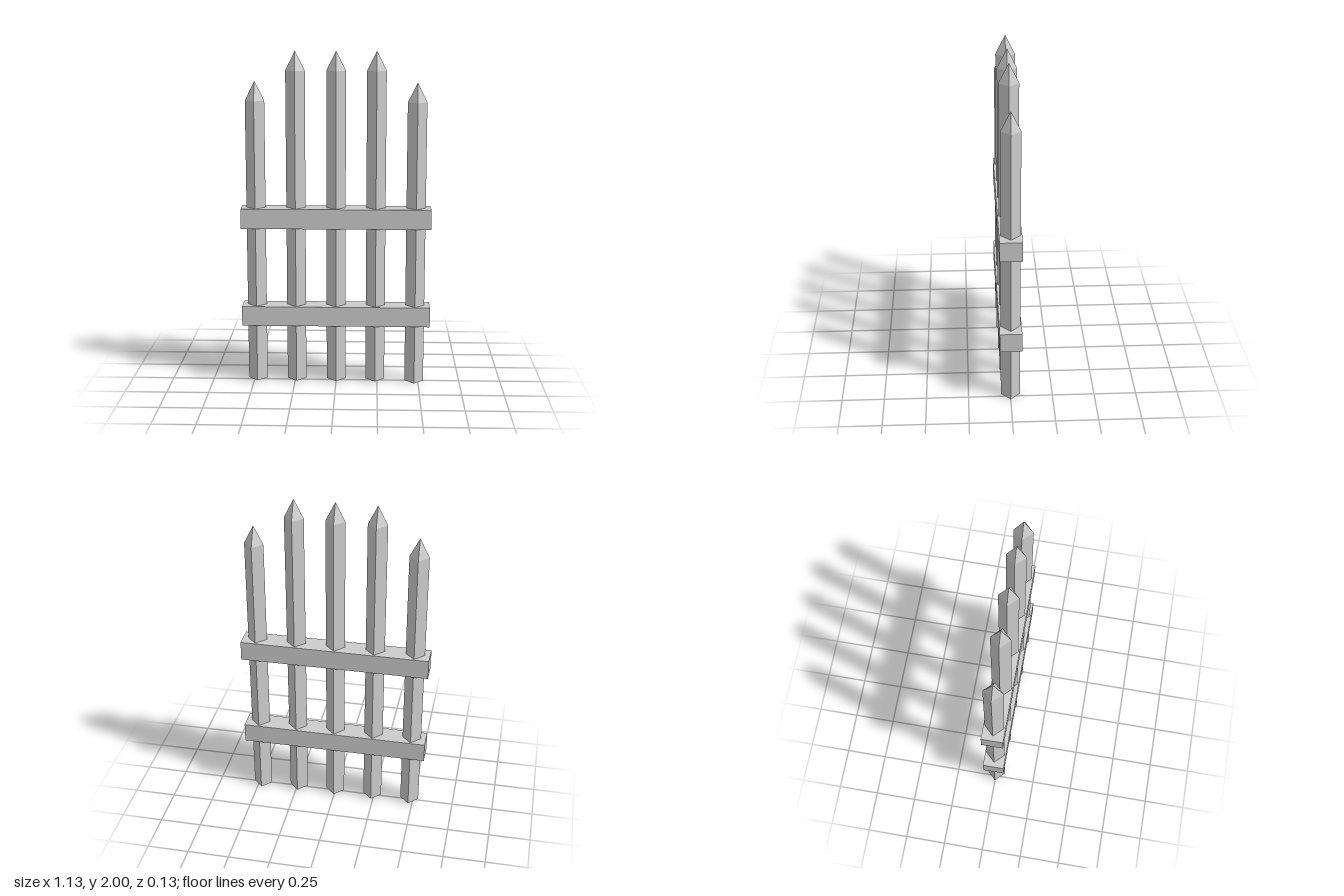
import * as THREE from 'three';

const material = new THREE.MeshStandardMaterial({ color: 0xcccccc, flatShading: true });
const RADIUS = 0.057;
const TIP = 0.115;

// Four-sided picket set cornerwise, with a pyramid point
function picket(x, bottom, shoulder) {
  const profile = [
    new THREE.Vector2(0, bottom),
    new THREE.Vector2(RADIUS, bottom),
    new THREE.Vector2(RADIUS, shoulder),
    new THREE.Vector2(0, shoulder + TIP),
  ];
  const mesh = new THREE.Mesh(new THREE.LatheGeometry(profile, 4), material);
  mesh.position.x = x;
  return mesh;
}

function rail(y) {
  const mesh = new THREE.Mesh(new THREE.BoxGeometry(1.128, 0.119, 0.13), material);
  mesh.position.y = y;
  return mesh;
}

export function createModel() {
  const fence = new THREE.Group();
  fence.name = 'picketFence';

  // Pickets: x, bottom, shoulder height; the outer two are shorter
  [
    [-0.477, 0.01, 1.71],
    [-0.239, 0.01, 1.885],
    [0, 0.01, 1.885],
    [0.237, 0.01, 1.885],
    [0.475, 0, 1.702],
  ].forEach(([x, bottom, shoulder], i) => {
    const post = picket(x, bottom, shoulder);
    post.name = `picket${i + 1}`;
    fence.add(post);
  });

  // Horizontal rails
  const lowerRail = rail(0.419);
  lowerRail.name = 'lowerRail';
  const upperRail = rail(1.016);
  upperRail.name = 'upperRail';
  fence.add(lowerRail, upperRail);

  return fence;
}
